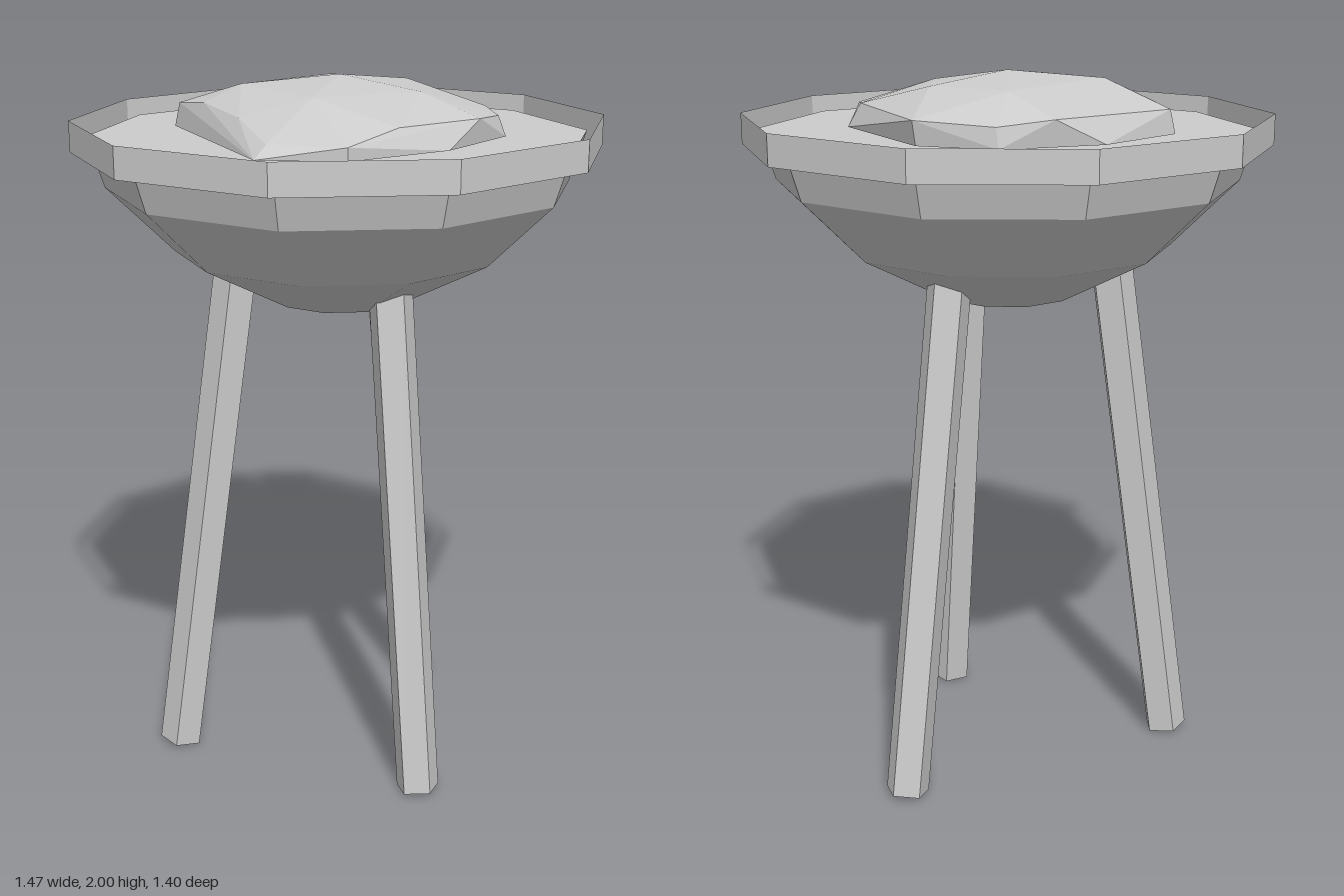
import * as THREE from 'three';
import { ConvexGeometry } from 'three/addons/geometries/ConvexGeometry.js';

const SIDES = 10;
const material = new THREE.MeshStandardMaterial({ color: 0xcccccc, flatShading: true });
const openMaterial = new THREE.MeshStandardMaterial({ color: 0xcccccc, flatShading: true, side: THREE.DoubleSide });

function part(name, geometry, mat = material) {
  const mesh = new THREE.Mesh(geometry, mat);
  mesh.name = name;
  return mesh;
}

// Five-sided post from foot to top, one corner facing away from the centre
function makeLeg(name, foot, top) {
  const axis = top.clone().sub(foot);
  const geometry = new THREE.CylinderGeometry(0.063, 0.063, axis.length(), 5);
  geometry.rotateY(Math.atan2(foot.x, foot.z));
  const leg = part(name, geometry);
  leg.position.copy(foot).add(top).multiplyScalar(0.5);
  leg.quaternion.setFromUnitVectors(new THREE.Vector3(0, 1, 0), axis.normalize());
  return leg;
}

// Faceted mound: crown, shoulder points and a base outline
function makeCoals() {
  const crown = [
    [0, 2, 0], [0.25, 1.97, 0], [0.1, 1.965, 0.21], [-0.22, 1.97, 0.15],
    [-0.22, 1.978, -0.15], [0.15, 1.97, -0.22],
  ];
  const shoulder = [
    [0.38, 1.915, -0.1], [0.33, 1.91, 0.23], [0.27, 1.9, 0.34], [0.14, 1.91, 0.4],
    [-0.13, 1.91, 0.38], [-0.31, 1.88, 0.39], [-0.43, 1.88, 0.22], [-0.37, 1.92, 0.03],
    [-0.31, 1.93, -0.2], [-0.27, 1.91, -0.37], [0.14, 1.915, -0.41], [0.28, 1.9, -0.35],
    [0.42, 1.91, -0.18],
  ];
  const base = [
    [0.41, -0.18], [0.36, 0.25], [0.28, 0.36], [0, 0.43], [-0.31, 0.39],
    [-0.47, 0.22], [-0.28, -0.38], [0, -0.44], [0.28, -0.36],
  ].map(([x, z]) => [x, 1.845, z]);
  const points = [...crown, ...shoulder, ...base].map((p) => new THREE.Vector3(...p));
  return part('coals', new ConvexGeometry(points));
}

export function createModel() {
  const group = new THREE.Group();
  group.name = 'brazier';

  // Bowl, open underneath
  const profile = [[0.19, 1.38], [0.46, 1.52], [0.645, 1.7], [0.69, 1.84]]
    .map(([r, y]) => new THREE.Vector2(r, y));
  const bowl = new THREE.LatheGeometry(profile, SIDES, Math.PI / 2);
  group.add(part('bowl', bowl, openMaterial));

  // Bed closing the bowl
  const bed = new THREE.CircleGeometry(0.69, SIDES);
  bed.rotateX(-Math.PI / 2).translate(0, 1.84, 0);
  group.add(part('coalBed', bed, openMaterial));

  // Thin rim band standing clear of the bowl
  const rim = new THREE.CylinderGeometry(0.735, 0.735, 0.085, SIDES, 1, true, Math.PI / 2);
  rim.translate(0, 1.84, 0);
  group.add(part('rim', rim, openMaterial));

  group.add(makeCoals());

  // Splayed tripod legs: name, foot x z, top x z
  const legs = [
    ['frontLeg', -0.06, 0.415, -0.033, 0.245],
    ['leftLeg', 0.455, -0.15, 0.255, -0.095],
    ['rightLeg', -0.41, -0.265, -0.24, -0.16],
  ];
  for (const [name, fx, fz, tx, tz] of legs) {
    group.add(makeLeg(name, new THREE.Vector3(fx, 0.007, fz), new THREE.Vector3(tx, 1.48, tz)));
  }
  return group;
}
